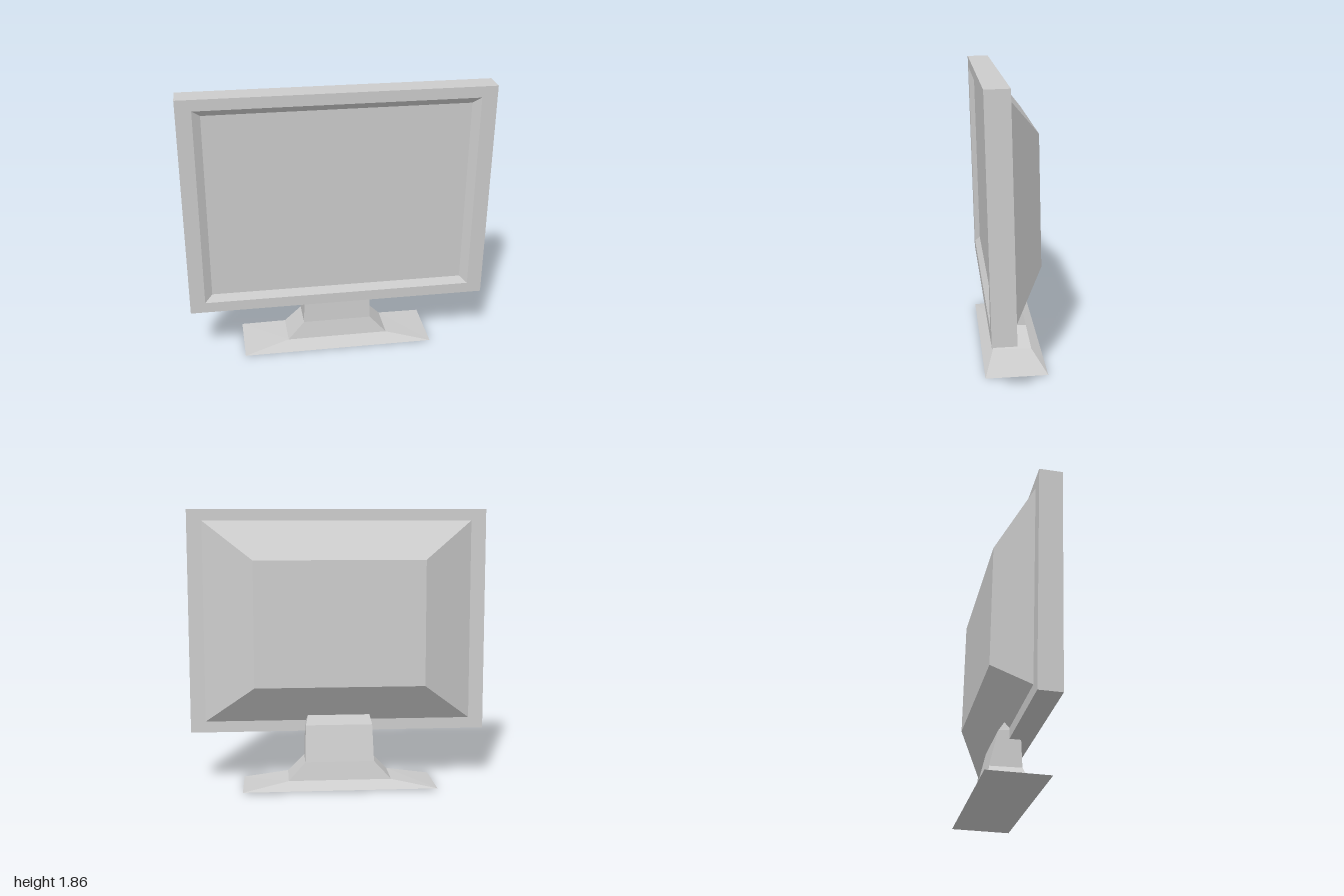
import * as THREE from 'three';

const grey = new THREE.MeshStandardMaterial({ color: 0xcccccc, flatShading: true });

// Joins four-cornered rings with flat faces; the first and last ring can be capped.
function loft(name, rings, capStart = false, capEnd = false) {
  const pos = [];
  const quad = (a, b, c, d) => pos.push(...a, ...b, ...c, ...a, ...c, ...d);
  for (let r = 0; r + 1 < rings.length; r++) {
    const a = rings[r], b = rings[r + 1];
    for (let i = 0; i < 4; i++) {
      const j = (i + 1) % 4;
      quad(a[i], a[j], b[j], b[i]);
    }
  }
  if (capStart) quad(...[...rings[0]].reverse());
  if (capEnd) quad(...rings[rings.length - 1]);
  const geometry = new THREE.BufferGeometry();
  geometry.setAttribute('position', new THREE.Float32BufferAttribute(pos, 3));
  geometry.computeVertexNormals();
  const mesh = new THREE.Mesh(geometry, grey);
  mesh.name = name;
  return mesh;
}

// Upright rectangle, for the monitor (lofted back to front)
const upright = (x, y, z) => [[-x, -y, z], [x, -y, z], [x, y, z], [-x, y, z]];

// Level rectangle with its own front and back heights, for the stand (lofted upward)
const level = (x, yFront, zFront, yBack, zBack) => [
  [-x, yFront, zFront], [x, yFront, zFront], [x, yBack, zBack], [-x, yBack, zBack],
];

export function createModel() {
  const model = new THREE.Group();
  model.name = 'monitor';

  // Display: origin at the centre of the front face, leaning slightly forward
  const display = new THREE.Group();
  display.name = 'display';
  display.position.set(0, 1.11, 0.19);
  display.rotation.x = 0.027;

  const backRim = upright(0.9, 0.673, -0.15);
  const recessRim = upright(0.9, 0.675, 0);
  const screenEdge = upright(0.85, 0.632, -0.035);

  // Tapered housing behind the frame
  display.add(loft('backHousing', [upright(0.565, 0.417, -0.348), backRim], true));
  // Frame: back border, outer sides, front border and sloped inner bezel
  display.add(loft('frame', [
    backRim, upright(1, 0.748, -0.15), upright(1, 0.748, 0), recessRim, screenEdge,
  ]));
  // Flat screen
  display.add(loft('screen', [screenEdge], false, true));
  model.add(display);

  // Stand: wide sloping foot, then a neck rising into the housing
  const footTop = level(0.345, 0.06, 0.12, 0.06, -0.135);
  model.add(loft('foot', [level(0.65, 0, 0.187, 0.01, -0.21), footTop], true));
  model.add(loft('neck', [
    footTop,
    level(0.232, 0.18, 0.1, 0.18, -0.11),
    level(0.225, 0.43, 0.093, 0.42, -0.05),
    level(0.21, 0.48, 0.09, 0.48, -0.01),
  ], false, true));

  return model;
}
